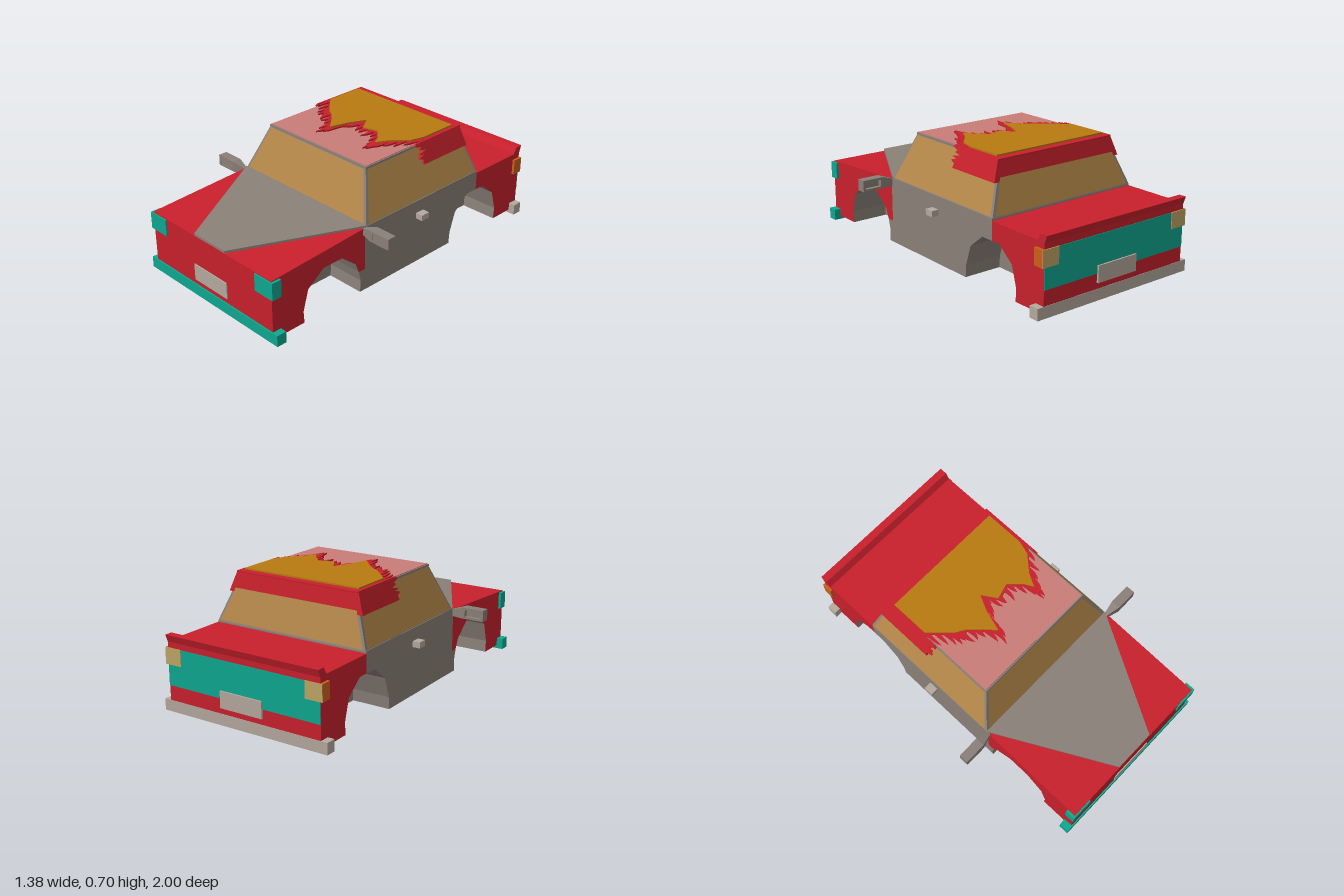
import * as THREE from 'three';

const mat = (name, color) => Object.assign(new THREE.MeshStandardMaterial({ color }), { name });

export function createModel() {
  const red = mat('red paint', 0xc8202c), grey = mat('grey paint', 0x8a8078);
  const light = mat('light grey', 0xb4a99e), teal = mat('teal', 0x0ea890);
  const tan = mat('tan glass', 0xb4874a), pink = mat('pink roof', 0xca7c79);
  const gold = mat('gold', 0xb87a10), orange = mat('orange lamp', 0xcc5f1c);
  const amber = mat('pale amber lamp', 0xbfa565);

  const car = new THREE.Group();
  car.name = 'car';
  const add = (name, geo, material) => {
    const m = new THREE.Mesh(geo, material);
    m.name = name;
    car.add(m);
    return m;
  };
  // box from its minimum and maximum corners
  const box = (name, x0, x1, y0, y1, z0, z1, material) => add(name,
    new THREE.BoxGeometry(x1 - x0, y1 - y0, z1 - z0)
      .translate((x0 + x1) / 2, (y0 + y1) / 2, (z0 + z1) / 2), material);
  const shapeOf = pts => new THREE.Shape(pts.map(p => new THREE.Vector2(p[0], p[1])));
  const extrude = (shape, depth) =>
    new THREE.ExtrudeGeometry(shape, { depth, bevelEnabled: false, curveSegments: 4 });
  // side profile of [z, y] points, spanning x0..x1
  const sideGeo = (pts, x0, x1) =>
    extrude(shapeOf(pts), x1 - x0).rotateY(-Math.PI / 2).translate(x1, 0, 0);
  // plan outline in [x, z], with its top at the given height
  const planGeo = (shape, top, thick) =>
    extrude(shape, thick).rotateX(Math.PI / 2).translate(0, top, 0);
  // move every vertex by a rule
  const warp = (geo, rule) => {
    const g = geo.index ? geo.toNonIndexed() : geo;
    const p = g.attributes.position, v = new THREE.Vector3();
    for (let i = 0; i < p.count; i++) {
      rule(v.fromBufferAttribute(p, i));
      p.setXYZ(i, v.x, v.y, v.z);
    }
    g.computeVertexNormals();
    return g;
  };

  // lower body: core between the wheel wells, and side slabs with arches
  const W = 0.49, well = 0.26;
  add('bodyCore', sideGeo([[0.99, 0.02], [0.99, 0.364], [0.34, 0.4], [0.34, 0.41], [-0.58, 0.41],
    [-0.58, 0.394], [-0.98, 0.394], [-0.98, 0.02]], -well, well), grey);
  const frontWing = [[0.99, 0.02], [0.99, 0.364], [0.34, 0.4], [0.34, 0.15], [0.385, 0.15],
    [0.41, 0.21], [0.51, 0.29], [0.64, 0.29], [0.75, 0.21], [0.785, 0.09], [0.78, 0.02]];
  const doors = [[0.34, 0.15], [0.34, 0.41], [-0.58, 0.41], [-0.58, 0.29], [-0.5, 0.29], [-0.4, 0.21],
    [-0.36, 0.09], [-0.355, 0.02], [0.375, 0.02], [0.37, 0.09], [0.385, 0.15]];
  const rearWing = [[-0.58, 0.29], [-0.58, 0.394], [-0.98, 0.394], [-0.98, 0.02], [-0.77, 0.02],
    [-0.775, 0.09], [-0.74, 0.21], [-0.64, 0.29]];
  for (const [x0, x1] of [[-W, -well], [well, W]]) {
    add('frontWing', sideGeo(frontWing, x0, x1), [red, grey]);
    add('doors', sideGeo(doors, x0, x1), grey);
    add('rearWing', sideGeo(rearWing, x0, x1), [red, grey]);
  }
  add('hoodSkin', sideGeo([[0.99, 0.362], [0.99, 0.367], [0.34, 0.403], [0.34, 0.398]], -W, W), red);
  box('trunkSkin', -W, W, 0.392, 0.397, -0.98, -0.58, red);
  box('frontSkin', -W, W, 0.02, 0.366, 0.987, 0.992, red);
  box('rearSkin', -W, W, 0.02, 0.396, -0.983, -0.978, red);
  box('rearPanel', -W, W, 0.15, 0.36, -0.986, -0.981, teal);

  // tapering hood panel, rising to the windscreen
  const hood = planGeo(shapeOf([[-0.125, 0.99], [0.125, 0.99], [W, 0.33], [-W, 0.33]]), 0.381, 0.017);
  add('hoodPanel', warp(hood, v => { v.y += (0.99 - v.z) / 0.66 * 0.033; }), grey);
  add('spoiler', sideGeo([[-0.93, 0.394], [-0.955, 0.435], [-1, 0.435], [-0.985, 0.394]], -W, W), red);

  // bumpers, plates and lamps
  box('frontBumper', -0.53, 0.53, 0, 0.065, 0.94, 1, teal);
  box('rearBumper', -0.53, 0.53, 0, 0.065, -0.985, -0.925, light);
  box('frontPlate', -0.135, 0.135, 0.095, 0.192, 0.99, 0.998, light);
  box('rearPlate', -0.135, 0.135, 0.1, 0.195, -0.995, -0.98, light);
  for (const s of [-1, 1]) {
    const pair = (name, a, b, ...rest) => box(name, Math.min(s * a, s * b), Math.max(s * a, s * b), ...rest);
    pair('headlight', 0.37, 0.505, 0.262, 0.362, 0.94, 1, teal);
    pair('rearLamp', 0.4, 0.505, 0.268, 0.362, -0.986, -0.925, orange);
    pair('rearLampFace', 0.4, 0.505, 0.268, 0.362, -0.99, -0.986, amber);
    pair('sideMarker', 0.485, 0.535, 0.302, 0.336, -0.117, -0.06, light);

    // door mirror: tapered arm, hollow housing and recessed glass
    const arm = new THREE.BoxGeometry(0.085, 0.065, 0.055).translate(s * 0.5175, 0.3975, 0.3475);
    add('mirrorArm', warp(arm, v => {
      if (Math.abs(v.x) < 0.5) {
        v.y = v.y > 0.4 ? 0.4 : 0.365;
        v.z = v.z > 0.35 ? 0.35 : 0.335;
      }
    }), grey);
    const rim = shapeOf([[-0.065, -0.0325], [0.065, -0.0325], [0.065, 0.0325], [-0.065, 0.0325]]);
    rim.holes.push(shapeOf([[-0.05, -0.02], [-0.05, 0.02], [0.05, 0.02], [0.05, -0.02]]));
    add('mirrorHousing', extrude(rim, 0.055).translate(s * 0.625, 0.3975, 0.32), grey);
    pair('mirrorGlass', 0.57, 0.68, 0.373, 0.422, 0.345, 0.374, grey);
  }

  // cabin frame and its four inset windows
  const corner = (sx, sz, top) => new THREE.Vector3(sx * (top ? 0.38 : 0.488), top ? 0.675 : 0.405,
    top ? (sz > 0 ? 0.228 : -0.505) : (sz > 0 ? 0.33 : -0.583));
  add('cabinFrame', warp(new THREE.BoxGeometry(2, 2, 2), v => {
    v.copy(corner(Math.sign(v.x), Math.sign(v.z), v.y > 0));
  }), grey);
  const ring = [[-1, 1], [1, 1], [1, -1], [-1, -1]];
  ['windscreen', 'leftWindow', 'rearWindow', 'rightWindow'].forEach((name, i) => {
    const a = ring[i], b = ring[(i + 1) % 4];
    const [p, q, r, t] = [corner(...a, false), corner(...b, false), corner(...b, true), corner(...a, true)];
    const n = q.clone().sub(p).cross(t.clone().sub(p)).normalize().multiplyScalar(0.003);
    const at = (u, v) => p.clone().lerp(q, u).lerp(t.clone().lerp(r, u), v).add(n);
    const pts = [at(0.017, 0.03), at(0.983, 0.03), at(0.983, 0.97), at(0.017, 0.97)];
    const g = new THREE.BufferGeometry().setFromPoints([0, 1, 2, 0, 2, 3].map(k => pts[k]));
    g.computeVertexNormals();
    add(name, g, tan);
  });
  box('roofRim', -0.385, 0.385, 0.67, 0.681, -0.51, 0.23, grey);
  box('roofTop', -0.378, 0.378, 0.68, 0.685, -0.5, 0.222, pink);

  // gold roof cover with a ragged front edge, over a red sheet
  const edge = [[-0.375, -0.24], [-0.31, -0.17], [-0.26, -0.12], [-0.21, -0.09], [-0.14, -0.02],
    [-0.09, 0.04], [-0.055, -0.08], [-0.01, -0.175], [0.045, -0.09], [0.135, -0.115], [0.2, -0.05],
    [0.23, 0.005], [0.27, -0.07], [0.35, -0.16], [0.373, -0.24]];
  add('goldCover', planGeo(shapeOf([...edge, [0.373, -0.475], [-0.375, -0.475]]), 0.701, 0.009), gold);
  add('redSheet', planGeo(shapeOf([[-0.395, -0.19], ...edge.map(([x, z]) => [x, z + 0.012]),
    [0.395, -0.19], [0.395, -0.52], [-0.395, -0.52]]), 0.692, 0.008), red);

  // curling flame tongues along the ragged edge
  let seed = 7;
  const rnd = () => (seed = (seed * 16807) % 2147483647) / 2147483647;
  const tongues = [];
  for (let i = 0; i < edge.length - 1; i++) {
    for (const k of [0.15, 0.65]) {
      const x = THREE.MathUtils.lerp(edge[i][0], edge[i + 1][0], k);
      const z = THREE.MathUtils.lerp(edge[i][1], edge[i + 1][1], k);
      const w = 0.011 + 0.006 * rnd(), len = 0.05 + 0.06 * rnd(), bend = (rnd() - 0.5) * 0.04;
      const s = new THREE.Shape();
      s.moveTo(x - w, z - 0.02);
      s.quadraticCurveTo(x - w + bend, z + len * 0.5, x - bend * 0.3, z + len);
      s.quadraticCurveTo(x + w + bend, z + len * 0.5, x + w, z - 0.02);
      tongues.push(s);
    }
  }
  add('flameTongues', planGeo(tongues, 0.694, 0.009), red);

  // red skirt hanging from the sides and back of the roof
  const flare = y => 0.39 + (0.692 - y) / 0.117 * 0.042;
  const skirt = [[-0.512, 0.692], [-0.15, 0.692], [-0.135, 0.68], [-0.18, 0.668], [-0.165, 0.655],
    [-0.215, 0.645], [-0.15, 0.632], [-0.19, 0.625], [-0.145, 0.612], [-0.18, 0.6], [-0.175, 0.575],
    [-0.532, 0.575]];
  for (const s of [-1, 1]) {
    add('roofSkirtSide', warp(sideGeo(skirt, -0.006, 0.006), v => { v.x += s * flare(v.y); }), red);
  }
  add('roofSkirtBack', warp(sideGeo([[-0.5, 0.692], [-0.512, 0.692], [-0.535, 0.575], [-0.523, 0.575]], -1, 1),
    v => { v.x *= flare(v.y) + 0.006; }), red);
  return car;
}
